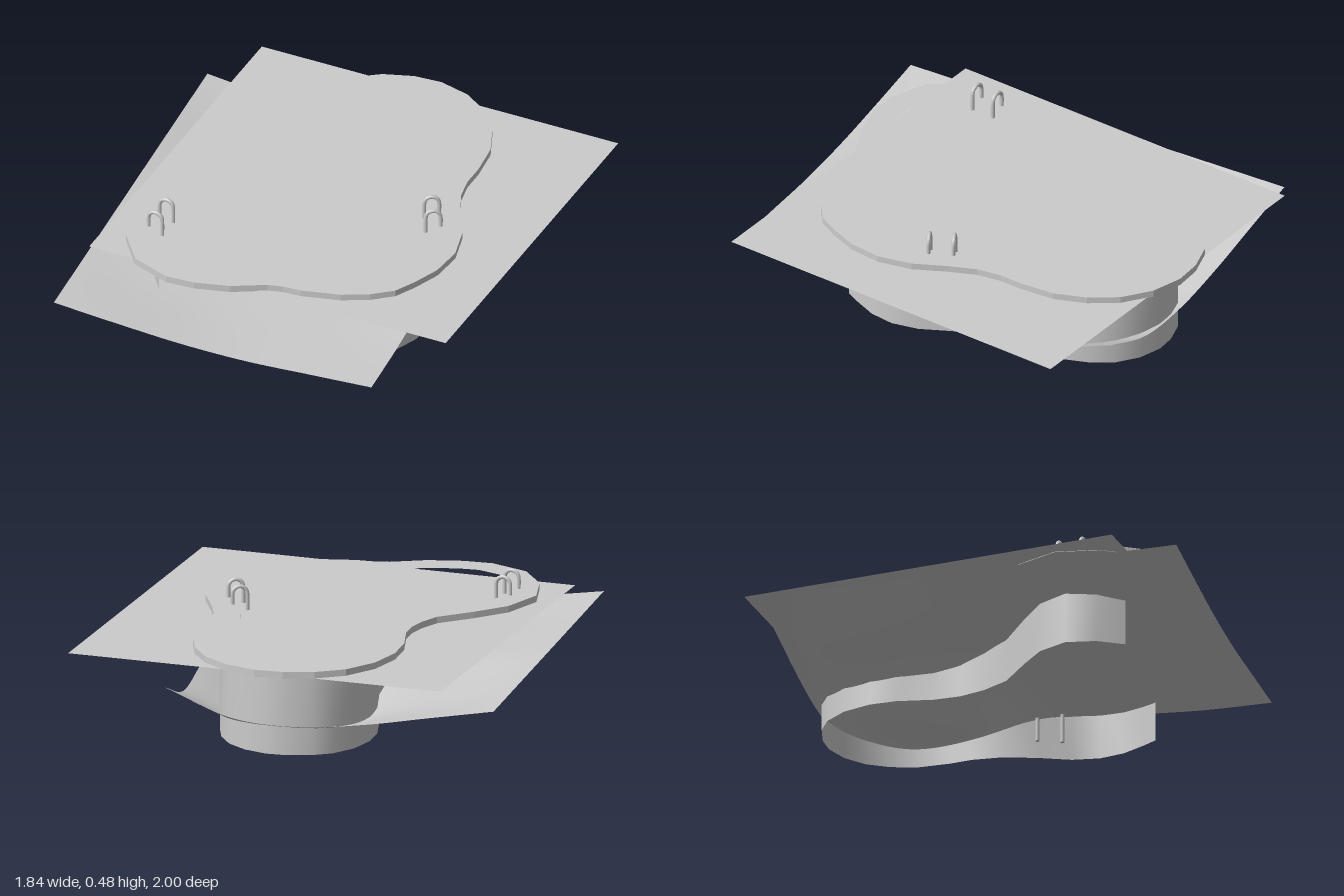
import * as THREE from 'three';

const grey = new THREE.MeshStandardMaterial({ color: 0xcccccc });
const greyThin = new THREE.MeshStandardMaterial({ color: 0xcccccc, side: THREE.DoubleSide });

const DECK_TOP = 0.395, DECK_BOTTOM = 0.365, DECK_WIDTH = 0.113;

// Pool outline as [x, z]: from the front right corner around the back to the front left
const wallLine = [
  [0.485, 0.41], [0.515, 0.345], [0.555, 0.24], [0.565, 0.13], [0.535, 0.015], [0.465, -0.11],
  [0.405, -0.24], [0.38, -0.37], [0.38, -0.475], [0.365, -0.61], [0.32, -0.715], [0.255, -0.8],
  [0.165, -0.86], [0.06, -0.887], [-0.025, -0.88], [-0.125, -0.845], [-0.2, -0.79], [-0.26, -0.69],
  [-0.285, -0.565], [-0.275, -0.45], [-0.23, -0.3], [-0.22, -0.185], [-0.24, -0.07], [-0.29, 0.05],
  [-0.42, 0.185], [-0.51, 0.29], [-0.553, 0.42], [-0.515, 0.545], [-0.44, 0.645],
];
// The open front of the outline
const frontLine = [
  [-0.315, 0.688], [-0.23, 0.68], [-0.105, 0.645], [0.03, 0.57], [0.12, 0.545],
  [0.195, 0.54], [0.345, 0.5], [0.43, 0.455],
];
const outline = [...wallLine, ...frontLine].map(([x, z]) => new THREE.Vector2(x, z));

// Move every outline point outward along its normal
function offsetOutline(points, distance) {
  const n = points.length;
  return points.map((p, i) => {
    const t = points[(i + 1) % n].clone().sub(points[(i + n - 1) % n]).normalize();
    return new THREE.Vector2(p.x - t.y * distance, p.y + t.x * distance);
  });
}

// Grid surface from a function (u, v) => [x, y, z]
function gridSurface(nu, nv, fn) {
  const geo = new THREE.PlaneGeometry(1, 1, nu, nv);
  const pos = geo.attributes.position;
  for (let j = 0; j <= nv; j++) {
    for (let i = 0; i <= nu; i++) pos.setXYZ(j * (nu + 1) + i, ...fn(i / nu, j / nv));
  }
  geo.computeVertexNormals();
  return geo;
}

// Smooth interpolation through evenly spaced values
function smoothValue(values, t) {
  const last = values.length - 1;
  const i = Math.min(Math.floor(t * last), last - 1);
  const f = t * last - i;
  const a = values[i], b = values[i + 1];
  const m0 = i > 0 ? (b - values[i - 1]) / 2 : b - a;
  const m1 = i + 2 <= last ? (values[i + 2] - a) / 2 : b - a;
  const f2 = f * f, f3 = f2 * f;
  return (2 * f3 - 3 * f2 + 1) * a + (f3 - 2 * f2 + f) * m0 + (3 * f2 - 2 * f3) * b + (f3 - f2) * m1;
}

function add(parent, name, geometry, material = grey) {
  const mesh = new THREE.Mesh(geometry, material);
  mesh.name = name;
  parent.add(mesh);
  return mesh;
}

// Heights of the pool floor: rows from back to front, each from left edge to right edge
const floorHeights = [
  [0.26, 0.21, 0.16, 0.13, 0.15, 0.26],
  [0.26, 0.18, 0.12, 0.02, 0.035, 0.16],
  [0.26, 0.19, 0.15, 0.06, 0.045, 0.195],
  [0.26, 0.22, 0.185, 0.158, 0.155, 0.205],
  [0.26, 0.22, 0.18, 0.165, 0.165, 0.19],
  [0.26, 0.21, 0.175, 0.165, 0.165, 0.17],
  [0.26, 0.22, 0.185, 0.166, 0.165, 0.165],
];

// Ladder with two hooked rails; local +x points away from the water
function makeLadder(name, x, z, angle, bottom) {
  const ladder = new THREE.Group();
  ladder.name = name;
  const reach = 0.031, half = 0.0525, bend = 0.44, radius = 0.0085;
  const points = [new THREE.Vector3(-reach, bottom, 0), new THREE.Vector3(-reach, 0.3, 0)];
  for (let i = 0; i <= 8; i++) {
    const a = Math.PI * (1 - i / 8);
    points.push(new THREE.Vector3(reach * Math.cos(a), bend + reach * Math.sin(a), 0));
  }
  points.push(new THREE.Vector3(reach, DECK_TOP - 0.01, 0));
  const railGeo = new THREE.TubeGeometry(new THREE.CatmullRomCurve3(points), 48, radius, 8);
  const capGeo = new THREE.CircleGeometry(radius, 8).rotateX(Math.PI / 2);
  for (const side of [-1, 1]) {
    add(ladder, 'ladderRail', railGeo).position.z = side * half;
    add(ladder, 'railEnd', capGeo).position.set(-reach, bottom, side * half);
  }
  const rungGeo = new THREE.CylinderGeometry(0.006, 0.006, half * 2, 8).rotateX(Math.PI / 2);
  for (const y of [0.355, 0.29, 0.225]) {
    add(ladder, 'ladderRung', rungGeo).position.set(-reach, y, 0);
  }
  ladder.position.set(x, 0, z);
  ladder.rotation.y = angle;
  return ladder;
}

export function createModel() {
  const pool = new THREE.Group();
  pool.name = 'swimmingPool';

  // Deck: a flat ring following the outline
  const deckShape = new THREE.Shape(offsetOutline(outline, DECK_WIDTH));
  deckShape.holes.push(new THREE.Path(outline));
  const deckGeo = new THREE.ExtrudeGeometry(deckShape, { depth: DECK_TOP - DECK_BOTTOM, bevelEnabled: false });
  deckGeo.rotateX(Math.PI / 2).translate(0, DECK_TOP, 0);
  add(pool, 'deck', deckGeo);

  // Wall: thin upright band, open at the front
  const segments = wallLine.length - 1;
  const wallGeo = gridSurface(segments, 1, (u, v) => {
    const [x, z] = wallLine[Math.round(u * segments)];
    return [x, DECK_BOTTOM * (1 - v), z];
  });
  add(pool, 'poolWall', wallGeo, greyThin);

  // Water: a flat square sheet
  const water = add(pool, 'waterSurface', new THREE.PlaneGeometry(1.65, 1.65).rotateX(-Math.PI / 2), greyThin);
  water.position.set(0.09, DECK_BOTTOM + 0.002, -0.123);

  // Floor: turned square sheet that sinks into the deep end
  const floorGeo = gridSurface(40, 48, (u, v) => {
    const y = smoothValue(floorHeights.map((row) => smoothValue(row, u)), v);
    return [-0.92 + 1.405 * u + 0.165 * v, y, -0.81 - 0.135 * u + 1.81 * v];
  });
  add(pool, 'poolFloor', floorGeo, greyThin);

  // Ladders
  pool.add(makeLadder('rightLadder', -0.53, 0.44, Math.PI, 0.135));
  pool.add(makeLadder('leftLadder', 0.481, -0.068, 0.51, 0.06));
  return pool;
}
